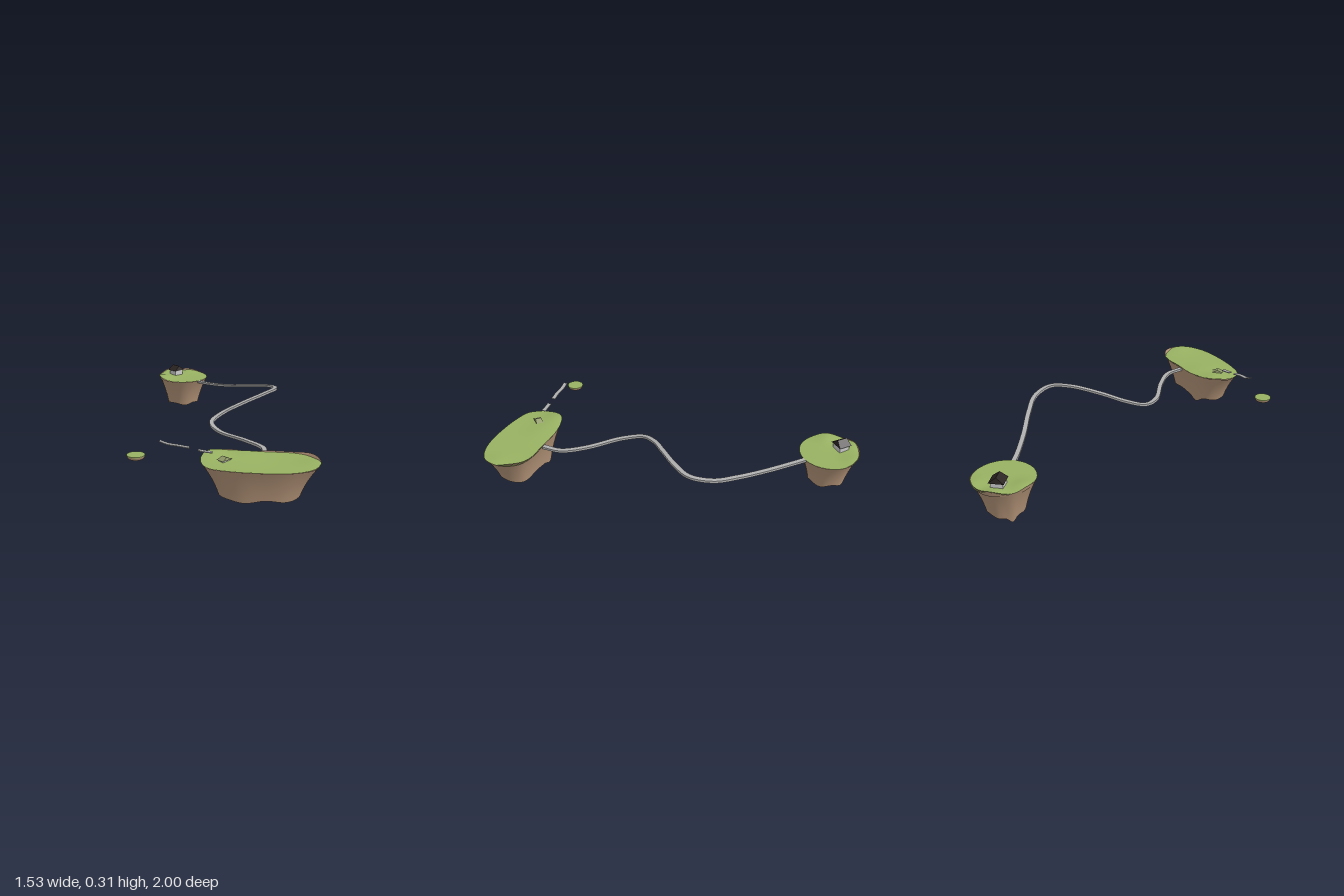
import * as THREE from 'three';
import { toCreasedNormals } from 'three/addons/utils/BufferGeometryUtils.js';

const paint = (color) => new THREE.MeshStandardMaterial({ color, side: THREE.DoubleSide });
const ROCK = paint(0xb6967a), GRASS = paint(0x98b262), ROAD = paint(0xb0b0b0);
const WALL = paint(0xcccccc), ROOF = paint(0x2a2422), HUT = paint(0x8f9a68);

// Skin a list of closed rings, running outward along the list
function loft(rings, crease = 0.8) {
  const n = rings[0].length, pos = [], idx = [];
  rings.forEach((r) => r.forEach((p) => pos.push(p.x, p.y, p.z)));
  for (let i = 0; i < rings.length - 1; i++) {
    for (let j = 0; j < n; j++) {
      const a = i * n + j, b = i * n + (j + 1) % n;
      idx.push(a, a + n, b, b, a + n, b + n);
    }
  }
  const g = new THREE.BufferGeometry();
  g.setAttribute('position', new THREE.Float32BufferAttribute(pos, 3));
  g.setIndex(idx);
  return toCreasedNormals(g, crease);
}

function add(parent, name, geometry, material, x = 0, y = 0, z = 0) {
  const m = new THREE.Mesh(geometry, material);
  m.name = name;
  m.position.set(x, y, z);
  parent.add(m);
  return m;
}

// Sum of soft bumps, each [x, z, height, radius]
const bumps = (list, x, z) => list.reduce((s, [bx, bz, h, r]) =>
  s + h * Math.exp(-((x - bx) ** 2 + (z - bz) ** 2) / (r * r)), 0);

// Floating island: ragged hollowed rock, raised lip and a grass top
function island(name, outline, [cx, cz], foot, hills, lips, spikes, waves) {
  const g = new THREE.Group();
  g.name = name;
  const ring = (s, height) => outline.map((p, j) => {
    const x = cx + (p.x - cx) * s, z = cz + (p.z - cz) * s;
    return new THREE.Vector3(x, height(x, z, j / outline.length * Math.PI * 2, p), z);
  });
  const edge = (x, z, t) => 0.049 + 0.007 * Math.sin(waves * t) + 0.004 * Math.sin(2 * t + 1)
    + bumps(spikes, x, z);
  const rows = [ring(0.001, () => 0.085), ring(foot * 0.6, () => 0.08), ring(foot * 0.9, () => 0.07), ring(foot, edge)];
  for (let k = 1; k <= 8; k++) {
    const u = k / 8, s = foot + (1 - foot) * (0.6 * u + 0.4 * u * u);
    rows.push(ring(s, (x, z, t, p) => {
      const e = edge(cx + (p.x - cx) * foot, cz + (p.z - cz) * foot, t);
      return e + (0.225 + bumps(lips, p.x, p.z) - e) * u;
    }));
  }
  rows.push(ring(0.95, () => 0.215));
  add(g, name + 'Rock', loft(rows), ROCK);
  const top = [];
  for (let k = 0; k <= 12; k++) {
    top.push(ring(Math.max(0.001, 1 - k / 12), (x, z) => 0.2255 + bumps(hills, x, z)));
  }
  add(g, name + 'Grass', loft(top, 1.2), GRASS);
  return g;
}

// Flat slab swept along a curve
function slab(points, width, thick, segments) {
  const curve = new THREE.CatmullRomCurve3(points.map((p) => new THREE.Vector3(...p)));
  const up = new THREE.Vector3(0, 1, 0), rings = [];
  for (let i = 0; i <= segments; i++) {
    const c = curve.getPointAt(i / segments);
    const side = curve.getTangentAt(i / segments).cross(up).normalize();
    const section = [[1, -1], [1, 1], [-1, 1], [-1, -1]].map(([s, h]) =>
      c.clone().addScaledVector(side, s * width / 2).addScaledVector(up, h * thick / 2));
    const end = section.map(() => c.clone());
    if (i === 0) rings.push(end);
    rings.push(section);
    if (i === segments) rings.push(end);
  }
  return loft(rings, 0.6);
}

// Pitched roof with its ridge along z
function roof(halfX, halfZ, ridgeZ, height) {
  const g = new THREE.BoxGeometry(halfX * 2, height, halfZ * 2).toNonIndexed();
  const p = g.attributes.position;
  for (let i = 0; i < p.count; i++) {
    if (p.getY(i) > 0) p.setXYZ(i, p.getX(i) * 0.02, height / 2, Math.sign(p.getZ(i)) * ridgeZ);
  }
  g.computeVertexNormals();
  return g;
}

function house(name, halfX, halfZ, wallH, roofH, wallMat, roofMat) {
  const g = new THREE.Group();
  g.name = name;
  add(g, name + 'Walls', new THREE.BoxGeometry(halfX * 1.6, wallH, halfZ * 1.6), wallMat, 0, wallH / 2, 0);
  add(g, name + 'Roof', roof(halfX, halfZ, halfZ * 0.8, roofH), roofMat, 0, wallH + roofH / 2, 0);
  return g;
}

export function createModel() {
  const model = new THREE.Group();
  model.name = 'floatingIslands';

  // Long island
  const shape = [[-0.40, 0.46], [-0.31, 0.50], [-0.17, 0.645], [-0.065, 0.77], [-0.04, 0.85], [-0.08, 0.955],
    [-0.17, 0.998], [-0.26, 0.975], [-0.36, 0.90], [-0.51, 0.71], [-0.55, 0.61], [-0.50, 0.505]];
  const curve = new THREE.CatmullRomCurve3(shape.map(([x, z]) => new THREE.Vector3(x, 0, z)), true);
  model.add(island('longIsland', curve.getSpacedPoints(96).slice(0, 96), [-0.295, 0.73], 0.69,
    [[-0.40, 0.48, 0.022, 0.09], [-0.3, 0.62, 0.008, 0.1], [-0.12, 0.95, 0.008, 0.08]],
    [[-0.06, 0.88, 0.018, 0.1], [-0.15, 0.68, 0.008, 0.1], [-0.3, 0.5, 0.012, 0.08], [-0.41, 0.46, 0.018, 0.07]],
    [[-0.30, 0.60, -0.048, 0.045]], 5));

  // Round island
  const circle = Array.from({ length: 72 }, (_, j) => {
    const t = j / 72 * Math.PI * 2;
    return new THREE.Vector3(0.59 + 0.172 * Math.cos(t), 0, -0.83 + 0.172 * Math.sin(t));
  });
  model.add(island('roundIsland', circle, [0.59, -0.83], 0.62,
    [[0.46, -0.90, 0.018, 0.07], [0.60, -1.0, 0.02, 0.06], [0.72, -0.90, 0.01, 0.06]],
    [[0.45, -0.91, 0.018, 0.06], [0.60, -1.0, 0.024, 0.08], [0.73, -0.92, 0.018, 0.08]],
    [[0.535, -0.91, -0.05, 0.024], [0.49, -0.8, -0.008, 0.04]], 5));

  // Disc islet
  const islet = [[0.001, 0.222], [0.034, 0.222], [0.042, 0.227], [0.047, 0.236], [0.048, 0.242]];
  add(model, 'isletRock', new THREE.LatheGeometry(islet.map(([r, y]) => new THREE.Vector2(r, y)), 32), ROCK, -0.718, 0, 0.252);
  add(model, 'isletGrass', new THREE.CylinderGeometry(0.048, 0.048, 0.004, 32), GRASS, -0.718, 0.243, 0.252);

  // Winding road between the islands
  add(model, 'road', slab([[-0.17, 0.213, 0.65], [-0.095, 0.210, 0.57], [-0.067, 0.206, 0.42], [-0.064, 0.208, 0.2],
    [-0.01, 0.224, 0.085], [0.1, 0.250, 0.06], [0.25, 0.282, 0.075], [0.45, 0.312, 0.09], [0.57, 0.316, 0.068],
    [0.635, 0.300, -0.04], [0.633, 0.272, -0.2], [0.608, 0.237, -0.4], [0.591, 0.219, -0.6], [0.59, 0.218, -0.67]],
  0.027, 0.014, 140), ROAD);

  // Broken floating ramp
  add(model, 'upperRamp', slab([[-0.635, 0.323, 0.345], [-0.61, 0.309, 0.375], [-0.575, 0.302, 0.42], [-0.535, 0.292, 0.462]],
    0.024, 0.005, 16), ROAD);
  add(model, 'lowerRamp', slab([[-0.507, 0.281, 0.497], [-0.48, 0.274, 0.528], [-0.458, 0.271, 0.552]], 0.024, 0.005, 8), ROAD);

  // Buildings
  const home = house('house', 0.042, 0.04, 0.045, 0.032, WALL, ROOF);
  home.position.set(0.592, 0.216, -0.908);
  const hut = house('hut', 0.034, 0.022, 0.009, 0.015, WALL, HUT);
  hut.position.set(-0.42, 0.227, 0.6);
  model.add(home, hut);
  return model;
}
